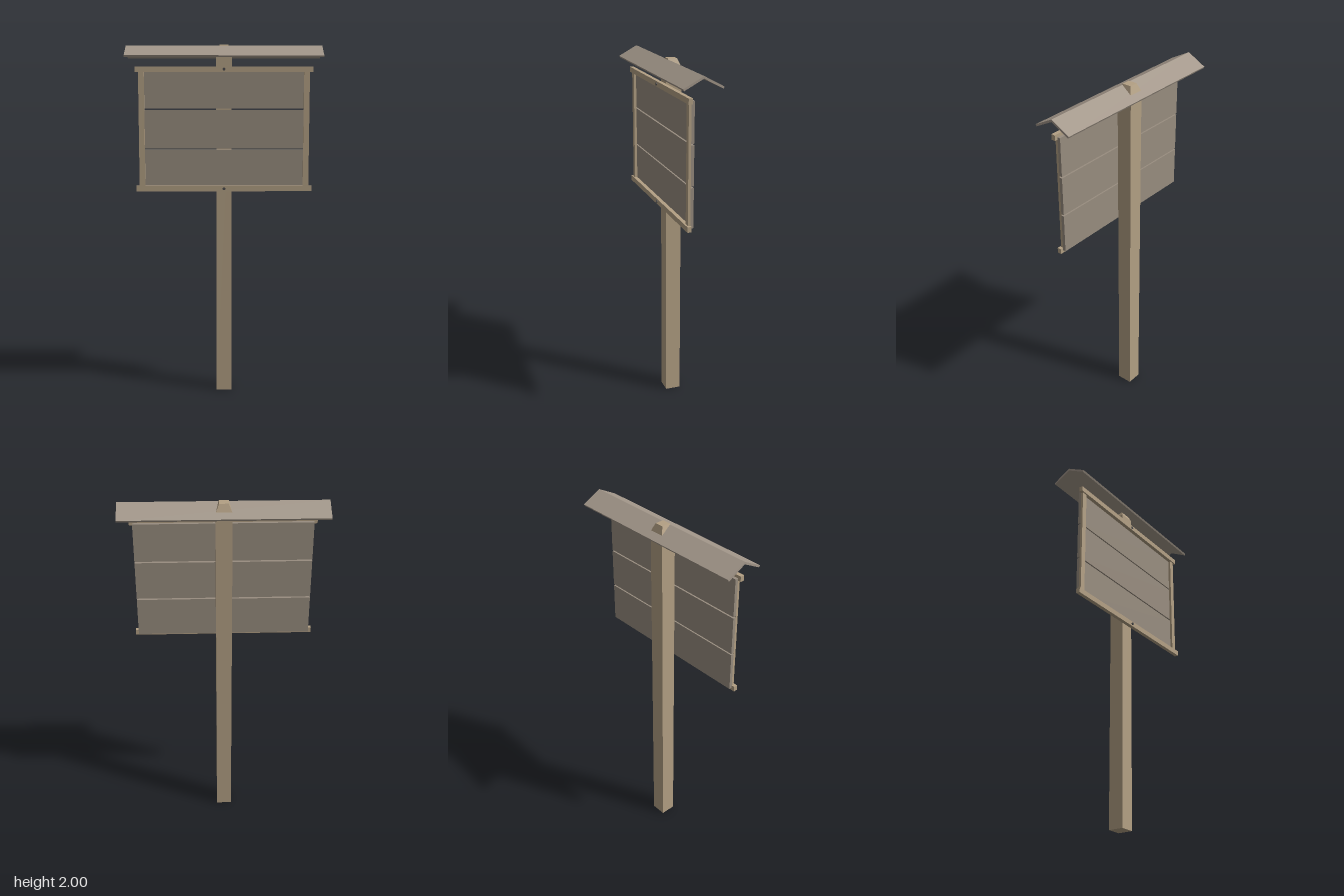
import * as THREE from 'three';

const mat = (color) => new THREE.MeshStandardMaterial({ color, flatShading: true });

export function createModel() {
  const group = new THREE.Group();
  const timber = mat(0xb3a084), board = mat(0x988d7f), roofWood = mat(0xa3978a), metal = mat(0x4a4a4c);

  const add = (name, geometry, material, x, y, z) => {
    const mesh = new THREE.Mesh(geometry, material);
    mesh.name = name;
    mesh.position.set(x, y, z);
    group.add(mesh);
    return mesh;
  };
  // box given by its extents on each axis
  const box = (name, material, [x0, x1], [y0, y1], [z0, z1]) => add(
    name, new THREE.BoxGeometry(x1 - x0, y1 - y0, z1 - z0), material,
    (x0 + x1) / 2, (y0 + y1) / 2, (z0 + z1) / 2);

  // square post whose top end is bevelled on all four sides
  const postGeo = new THREE.BoxGeometry(0.087, 2, 0.087, 1, 2, 1);
  const p = postGeo.attributes.position;
  for (let i = 0; i < p.count; i++) {
    if (p.getY(i) > 0.5) {
      p.setX(i, Math.sign(p.getX(i)) * 0.025);
      p.setZ(i, Math.sign(p.getZ(i)) * 0.025);
    } else if (p.getY(i) > -0.5) p.setY(i, 0.955);
  }
  add('post', postGeo, timber, 0, 1, -0.025);

  // three horizontal boards with narrow gaps
  for (const [y0, y1] of [[1.2, 1.417], [1.425, 1.64], [1.648, 1.863]]) {
    box('signBoard', board, [-0.477, 0.477], [y0, y1], [0.019, 0.036]);
  }

  // frame: upright battens, then longer rails in front, each with a bolt
  for (const s of [-1, 1]) {
    const x = s * 0.461;
    box('sideBatten', timber, [x - 0.016, x + 0.016], [1.2, 1.863], [0.036, 0.05]);
  }
  for (const y of [1.2, 1.865]) {
    box('frameRail', timber, [-0.495, 0.495], [y - 0.015, y + 0.015], [0.036, 0.058]);
    const bolt = add('bolt', new THREE.CylinderGeometry(0.008, 0.008, 0.006, 10), metal, 0, y, 0.059);
    bolt.rotation.x = Math.PI / 2;
  }

  // gable roof: one sloping panel on each side of the ridge
  for (const s of [-1, 1]) {
    const profile = new THREE.Shape([
      [0, 1.995], [s * 0.107, 1.938], [s * 0.102, 1.928], [0, 1.982],
    ].map(([z, y]) => new THREE.Vector2(-z, y)));
    const geo = new THREE.ExtrudeGeometry(profile, { depth: 1.096, bevelEnabled: false });
    geo.rotateY(Math.PI / 2);
    add(s > 0 ? 'frontRoofPanel' : 'backRoofPanel', geo, roofWood, -0.548, 0, 0);
  }
  return group;
}
